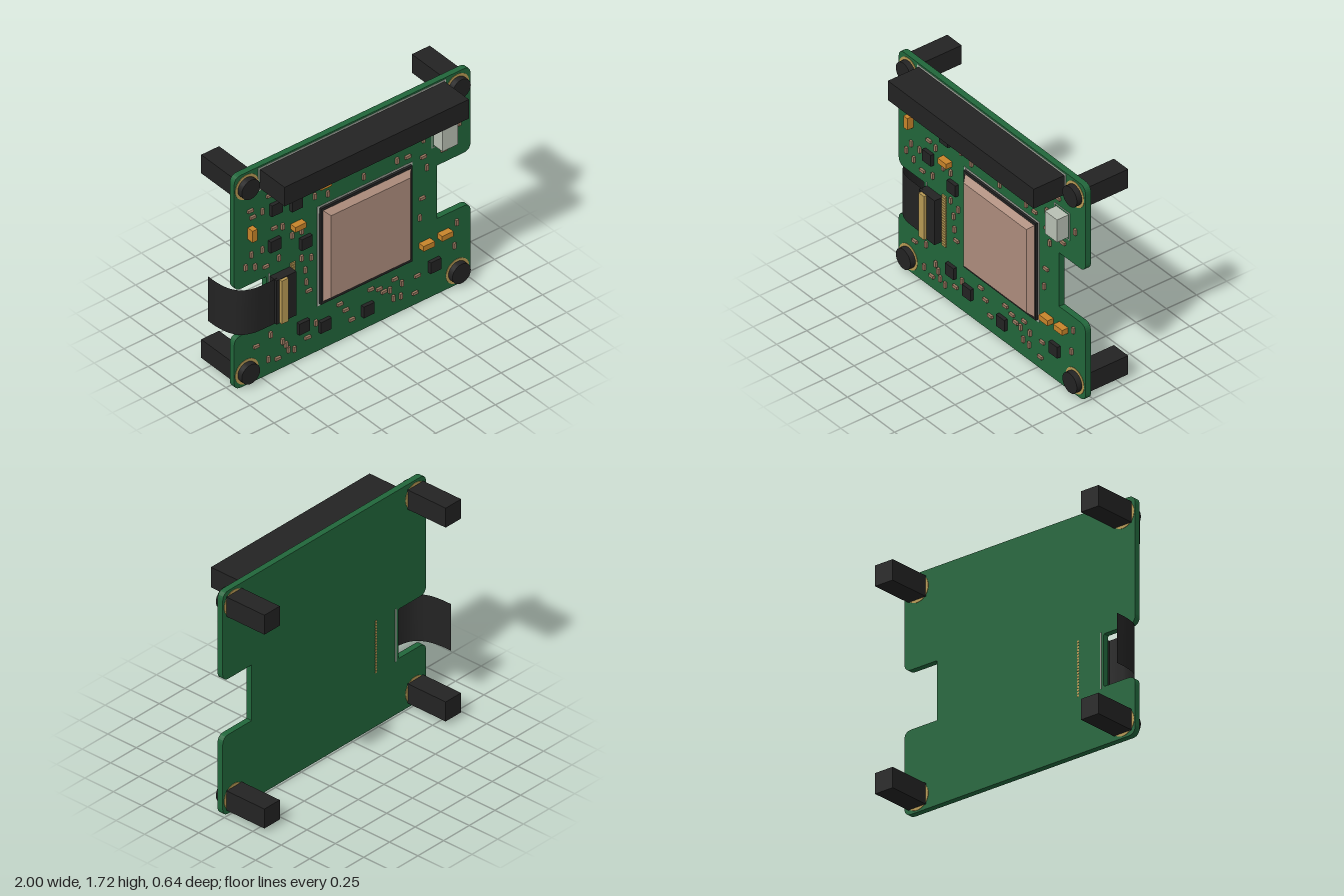
import * as THREE from 'three';

const mat = (name, color) => Object.assign(new THREE.MeshStandardMaterial({ color }), { name });

export function createModel() {
  const root = new THREE.Group();
  root.name = 'circuitBoard';
  const green = mat('boardGreen', 0x21663b);
  const black = mat('black', 0x232323);
  const gold = mat('gold', 0xb89a54);
  const copper = mat('copperLid', 0xae8d7d);
  const orange = mat('orange', 0xc8842a);
  const white = mat('paleGrey', 0xb9c0b4);
  const brown = mat('resistorBrown', 0x9c7a62);
  const cableBlack = mat('cableBlack', 0x232323);
  cableBlack.side = THREE.DoubleSide;
  const BACK = 0.015, FRONT = 0.06;

  const add = (name, geo, material, parent = root) => {
    const m = new THREE.Mesh(geo, material);
    m.name = name;
    parent.add(m);
    return m;
  };
  // box given by its limits
  const box = (name, x0, x1, y0, y1, z0, z1, material, parent) => {
    const m = add(name, new THREE.BoxGeometry(x1 - x0, y1 - y0, z1 - z0), material, parent);
    m.position.set((x0 + x1) / 2, (y0 + y1) / 2, (z0 + z1) / 2);
    return m;
  };
  const group = (name) => {
    const g = new THREE.Group();
    g.name = name;
    root.add(g);
    return g;
  };
  const rectPath = (P, x0, x1, y0, y1) => {
    const p = new P();
    p.moveTo(x0, y0); p.lineTo(x1, y0); p.lineTo(x1, y1); p.lineTo(x0, y1); p.closePath();
    return p;
  };
  // printed outline on the front of the board
  const outline = (name, x0, x1, y0, y1, w) => {
    const s = rectPath(THREE.Shape, x0, x1, y0, y1);
    s.holes.push(rectPath(THREE.Path, x0 + w, x1 - w, y0 + w, y1 - w));
    const g = new THREE.ExtrudeGeometry(s, { depth: 0.003, bevelEnabled: false });
    add(name, g, white).position.z = FRONT;
  };

  // Board: notched outline, each corner is [x, y, radius]
  const corners = [
    [-0.98, 0, 0.06], [1, 0, 0.06], [1, 0.61, 0.06], [0.72, 0.61, 0.005],
    [0.72, 1.04, 0.005], [1, 1.04, 0.06], [1, 1.72, 0.06], [-0.98, 1.72, 0.06],
    [-0.98, 0.8, 0.06], [-0.71, 0.8, 0.01], [-0.71, 0.42, 0.01], [-0.98, 0.42, 0.06],
  ];
  const shape = new THREE.Shape();
  corners.forEach(([x, y, r], i) => {
    const toward = (j) => {
      const q = corners[(j + corners.length) % corners.length];
      const v = new THREE.Vector2(q[0] - x, q[1] - y).setLength(r);
      return [x + v.x, y + v.y];
    };
    const a = toward(i - 1), b = toward(i + 1);
    if (i) shape.lineTo(...a); else shape.moveTo(...a);
    shape.quadraticCurveTo(x, y, ...b);
  });
  shape.closePath();
  add('board', new THREE.ExtrudeGeometry(shape, { depth: FRONT - BACK, bevelEnabled: false, curveSegments: 6 }), green)
    .position.z = BACK;

  // Corner mounts: gold pads, screw heads and square standoffs
  for (const x of [-0.875, 0.89]) for (const y of [0.11, 1.605]) {
    const mount = group('cornerMount');
    const pad = add('goldPad', new THREE.CylinderGeometry(0.097, 0.097, FRONT - BACK + 0.006, 32), gold, mount);
    pad.rotation.x = Math.PI / 2;
    pad.position.set(x, y, (FRONT + BACK) / 2);
    const screw = add('screwHead', new THREE.CylinderGeometry(0.077, 0.077, 0.045, 24), black, mount);
    screw.rotation.x = Math.PI / 2;
    screw.position.set(x, y, 0.0825);
    box('standoff', x - 0.075, x + 0.075, y - 0.075, y + 0.075, -0.32, BACK, black, mount);
  }

  // Long socket header
  box('header', -0.765, 0.78, 1.54, 1.695, FRONT, 0.317, black);
  outline('headerOutline', -0.78, 0.792, 1.525, 1.707, 0.012);

  // Processor with bevelled lid
  outline('processorOutline', -0.285, 0.512, 0.363, 1.167, 0.012);
  box('processorCornerMark', -0.285, -0.265, 1.11, 1.167, FRONT, 0.064, white);
  box('processorBase', -0.268, 0.498, 0.378, 1.153, FRONT, 0.08, black);
  const lidGeo = new THREE.BoxGeometry(0.735, 0.735, 0.04);
  const lp = lidGeo.attributes.position;
  for (let i = 0; i < lp.count; i++) {
    if (lp.getZ(i) > 0) lp.setXY(i, lp.getX(i) * 0.905, lp.getY(i) * 0.905);
  }
  lidGeo.computeVertexNormals();
  add('processorLid', lidGeo, copper).position.set(0.117, 0.766, 0.1);

  // Pale crystal can
  box('crystalCan', 0.69, 0.82, 1.22, 1.4, FRONT, 0.155, white);
  outline('crystalOutline', 0.672, 0.835, 1.2, 1.418, 0.006);

  // Flat cable connector with latch and pin row
  box('cableConnector', -0.68, -0.513, 0.435, 0.79, FRONT, 0.128, black);
  box('connectorLatch', -0.653, -0.597, 0.438, 0.787, 0.128, 0.15, gold);
  const pins = group('connectorPins');
  for (let i = 0; i < 20; i++) {
    const y = 0.42 + i * 0.0205;
    box('pin', -0.512, -0.472, y - 0.008, y + 0.008, FRONT, 0.07, gold, pins);
    box('pinTail', -0.5, -0.485, y - 0.007, y + 0.007, BACK - 0.003, BACK + 0.001, gold, pins);
  }
  box('connectorMark', -0.69, -0.68, 0.41, 0.815, BACK - 0.002, FRONT + 0.002, white);

  // Cable bending round to the back
  const path = new THREE.CatmullRomCurve3([
    [-0.998, -0.19], [-0.996, -0.1], [-0.975, 0], [-0.925, 0.07], [-0.85, 0.102], [-0.76, 0.108], [-0.66, 0.108],
  ].map(([x, z]) => new THREE.Vector3(x, 0, z)));
  const cableGeo = new THREE.PlaneGeometry(1, 0.36, 28, 1);
  const cp = cableGeo.attributes.position;
  for (let i = 0; i < cp.count; i++) {
    const p = path.getPoint(cp.getX(i) + 0.5);
    cp.setXYZ(i, p.x, cp.getY(i) + 0.612, p.z);
  }
  cableGeo.computeVertexNormals();
  add('flatCable', cableGeo, cableBlack);

  // Small parts, centres in hundredths of a unit
  const scatter = (name, w, h, top, material, list) => {
    const g = group(name + 's');
    for (const [x, y] of list) {
      const cx = x / 100, cy = y / 100;
      box(name, cx - w / 2, cx + w / 2, cy - h / 2, cy + h / 2, FRONT, top, material, g);
    }
  };
  scatter('smallChip', 0.09, 0.09, 0.088, black, [
    [-64, 133], [-47, 129], [-5, 137.5], [26, 137], [-65, 104], [-39, 94], [-41, 26.5], [-23, 19.5], [13, 15.5], [69, 25.5],
  ]);
  scatter('wideCapacitor', 0.093, 0.042, 0.11, orange, [[-24.5, 135], [-46, 111], [61.5, 46], [77, 47]]);
  scatter('tallCapacitor', 0.042, 0.093, 0.11, orange, [[46.5, 143], [-84.5, 122]]);
  scatter('wideResistor', 0.045, 0.021, 0.077, brown, [
    [-69, 145], [-85, 140], [-83, 134], [-51, 143], [-39, 148], [-28, 146], [-25, 142], [-65, 117], [-72, 89],
    [32, 147], [72, 148], [47, 123], [60, 117], [77, 115], [59, 84], [-36, 53], [-80, 28], [-62, 10], [-37, 15.5],
    [-10, 30], [0, 13], [-5, 23], [16, 30], [23, 27], [27, 23], [36, 29], [55, 23], [53, 10],
  ]);
  scatter('tallResistor', 0.021, 0.045, 0.077, brown, [
    [-61, 146], [-75, 135], [-34, 139], [-31, 127], [-20, 124], [-15, 135], [-58, 115], [-84, 104], [-75, 104],
    [-89, 96], [-81, 93], [-61, 91], [-50, 104], [-42, 104], [10, 124], [38, 124], [16, 139], [57, 141], [60, 131],
    [90, 131], [63, 107], [57, 69], [-42, 82], [-34, 79], [-39, 71], [-38, 61], [-68, 32], [-70, 13], [-58, 22],
    [-55, 18], [-53, 13], [-48, 11], [-30, 24], [32, 22], [35, 14], [42, 23], [41, 13], [86, 33], [88, 51],
  ]);
  return root;
}
